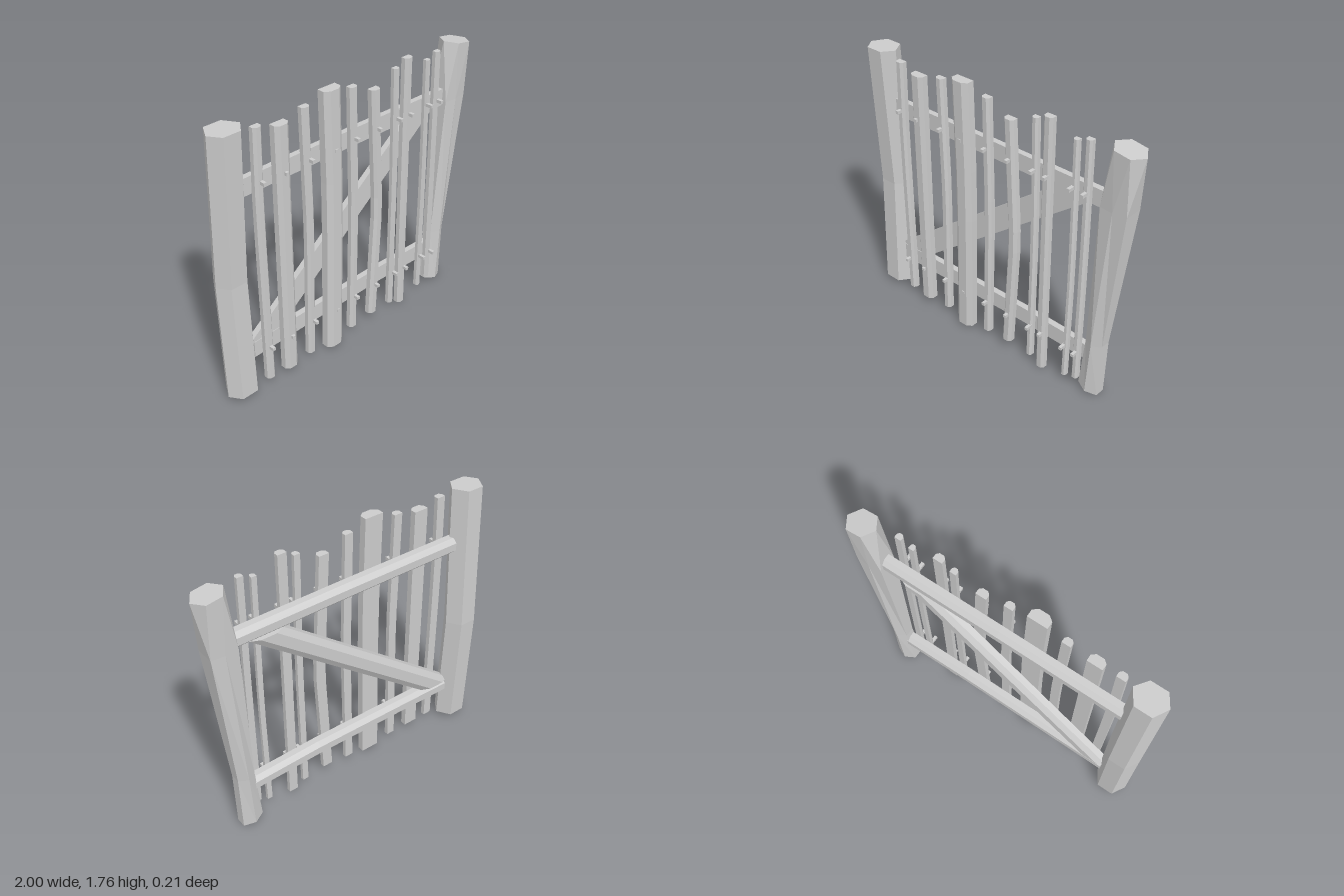
import * as THREE from 'three';

const material = new THREE.MeshStandardMaterial({ color: 0xcccccc, flatShading: true });

// Skin a list of equal-length rings of [x, y, z] points and cap both ends.
function loft(name, rings) {
  const tris = [];
  const n = rings[0].length;
  for (let r = 0; r < rings.length - 1; r++) {
    const a = rings[r], b = rings[r + 1];
    for (let k = 0; k < n; k++) {
      const m = (k + 1) % n;
      tris.push([a[k], a[m], b[m]], [a[k], b[m], b[k]]);
    }
  }
  const end = rings[rings.length - 1];
  for (let k = 1; k < n - 1; k++) {
    tris.push([rings[0][0], rings[0][k + 1], rings[0][k]], [end[0], end[k], end[k + 1]]);
  }
  // Turn the corner order round when the solid comes out inside out
  const o = new THREE.Vector3(...rings[0][0]);
  let volume = 0;
  for (const t of tris) {
    const [p, q, s] = t.map((c) => new THREE.Vector3(...c).sub(o));
    volume += p.dot(q.cross(s));
  }
  if (volume < 0) tris.forEach((t) => t.reverse());
  const geometry = new THREE.BufferGeometry();
  geometry.setAttribute('position', new THREE.Float32BufferAttribute(tris.flat(2), 3));
  geometry.computeVertexNormals();
  const mesh = new THREE.Mesh(geometry, material);
  mesh.name = name;
  return mesh;
}

// Half-round log section: [across, z], flat at the front and faceted at the back
const logSection = [[-1, 0.03], [1, 0.03], [0.95, -0.01], [0.45, -0.038], [-0.45, -0.038], [-0.95, -0.01]];

// Straight post, bowed backwards at mid height
function leftPost() {
  const hex = [[-1, 0.02], [-0.95, 0.095], [-0.84, 0.095], [-0.785, 0.02], [-0.84, -0.068], [-0.95, -0.068]];
  const levels = [[0.04, -0.01], [0.82, -0.037], [1.76, 0]];
  return loft('leftPost', levels.map(([y, dz]) => hex.map(([x, z]) => [x, y, z + dz])));
}

// Leaning post that widens and twists by half a side at the top
function rightPost() {
  const levels = [
    // centre x, y, half width, half depth, twist, slope
    [0.77, 0.025, 0.07, 0.065, 30, -0.2],
    [0.792, 0.4, 0.058, 0.065, 30, 0],
    [0.865, 1.36, 0.086, 0.068, 30, 0],
    [0.9, 1.725, 0.1, 0.085, 0, -0.15],
  ];
  return loft('rightPost', levels.map(([cx, y, w, d, twist, slope], level) => {
    const ring = [];
    for (let k = 0; k < 6; k++) {
      const a = THREE.MathUtils.degToRad(60 * k + twist);
      const dx = Math.cos(a) * w / (twist ? 0.866 : 1);
      let z = Math.sin(a) * d / (twist ? 1 : 0.95);
      if (level === 2) z = Math.sign(z) * (Math.abs(z) > 0.05 ? d : 0.06); // boxier shoulder
      ring.push([cx + dx, y + dx * slope, z]);
    }
    return ring;
  }));
}

// Horizontal rail through a list of [x, centre y]
function rail(name, path) {
  return loft(name, path.map(([x, y]) => logSection.map(([t, z]) => [x, y + t * 0.054, z])));
}

// Diagonal brace, its ends cut level with the rails
function brace() {
  const ends = [[-0.72, 0.34, 0.122], [0.575, 1.338, 0.118]];
  return loft('diagonalBrace', ends.map(([x, y, w]) => logSection.map(([t, z]) => [x - t * w, y, z - 0.004])));
}

// Picket with a flat back and chamfered front, bent through its centre line
function picket(x, width, bottom, top, bend, kneeLow, kneeHigh) {
  const w = width / 2, d = 0.02 + 0.4 * width;
  const section = [[-w, 0.03], [w, 0.03], [w, 0.03 + d * 0.65], [w * 0.5, 0.03 + d], [-w * 0.5, 0.03 + d], [-w, 0.03 + d * 0.65]];
  const path = [[bottom, 0], [kneeLow, bend], [kneeHigh, bend], [top, 0]];
  return loft('picket', path.map(([y, dx]) => section.map(([sx, z]) => [x + dx + sx, y, z])));
}

export function createModel() {
  const gate = new THREE.Group();
  gate.name = 'gate';
  gate.add(leftPost(), rightPost(), brace());
  gate.add(rail('topRail', [[-0.8, 1.388], [0, 1.39], [0.8, 1.386]]));
  gate.add(rail('bottomRail', [[-0.8, 0.292], [-0.35, 0.3], [0.25, 0.308], [0.76, 0.294]]));

  // x, width, bottom, top, bend, lower knee, upper knee, bolt x
  const pickets = [
    [-0.713, 0.057, 0.05, 1.725, -0.008, 1.0, 1.3, -0.715],
    [-0.56, 0.096, 0.05, 1.69, 0, 0.6, 1.2, -0.56],
    [-0.384, 0.056, 0.05, 1.725, 0.015, 0.85, 1.05, -0.37],
    [-0.205, 0.125, 0.02, 1.775, 0.013, 0.85, 1.2, -0.195],
    [-0.027, 0.056, 0.05, 1.725, 0.014, 0.8, 1.05, -0.02],
    [0.147, 0.068, 0.07, 1.655, 0.038, 0.78, 0.93, 0.16],
    [0.325, 0.041, 0.05, 1.725, 0.008, 0.8, 1.1, 0.335],
    [0.42, 0.06, 0.01, 1.765, 0, 0.6, 1.2, 0.43],
    [0.6, 0.034, 0.05, 1.695, 0.008, 0.7, 0.95, 0.6],
    [0.684, 0.042, 0.08, 1.725, 0.004, 0.7, 1.1, 0.69],
  ];
  const boltGeometry = new THREE.BoxGeometry(0.02, 0.02, 0.06);
  for (const [x, width, bottom, top, bend, low, high, boltX] of pickets) {
    gate.add(picket(x, width, bottom, top, bend, low, high));
    // Bolt heads at both rails
    for (const y of [0.29, 1.405]) {
      const bolt = new THREE.Mesh(boltGeometry, material);
      bolt.name = 'bolt';
      bolt.position.set(boltX, y, 0.075);
      gate.add(bolt);
    }
  }
  return gate;
}
